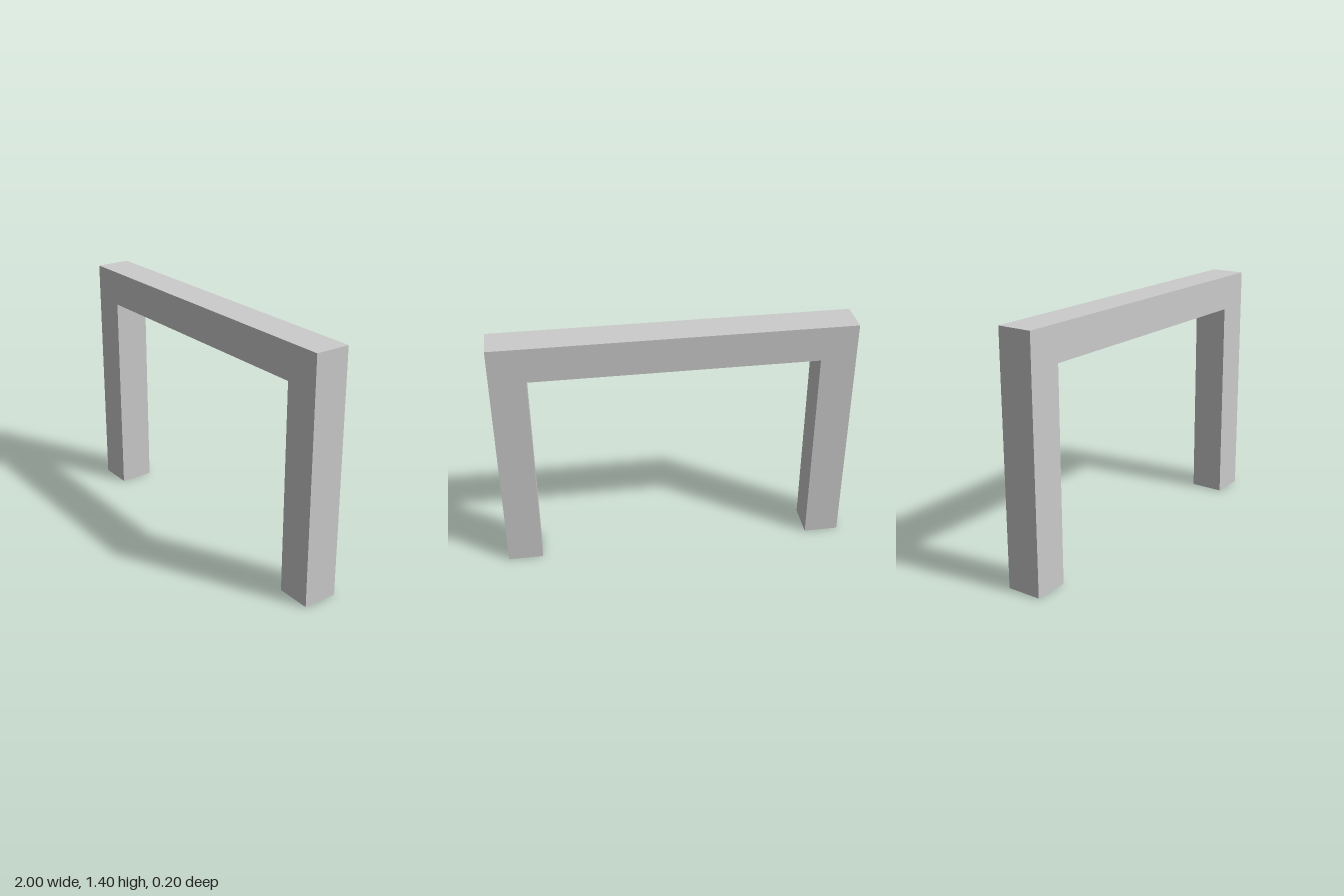
import * as THREE from 'three';

const WIDTH = 2, HEIGHT = 1.4, BAR = 0.2; // the bar is square in section

export function createModel() {
  const group = new THREE.Group();
  group.name = 'archway';

  // One continuous frame: two posts joined by a lintel, open at the bottom
  const outer = WIDTH / 2, inner = outer - BAR, underside = HEIGHT - BAR;
  const outline = new THREE.Shape([
    [-outer, 0], [-inner, 0], [-inner, underside], [inner, underside],
    [inner, 0], [outer, 0], [outer, HEIGHT], [-outer, HEIGHT],
  ].map(([x, y]) => new THREE.Vector2(x, y)));

  const geometry = new THREE.ExtrudeGeometry(outline, { depth: BAR, bevelEnabled: false });
  geometry.translate(0, 0, -BAR / 2);

  const frame = new THREE.Mesh(
    geometry,
    new THREE.MeshStandardMaterial({ color: 0xcccccc, flatShading: true }),
  );
  frame.name = 'frame';
  group.add(frame);

  return group;
}
